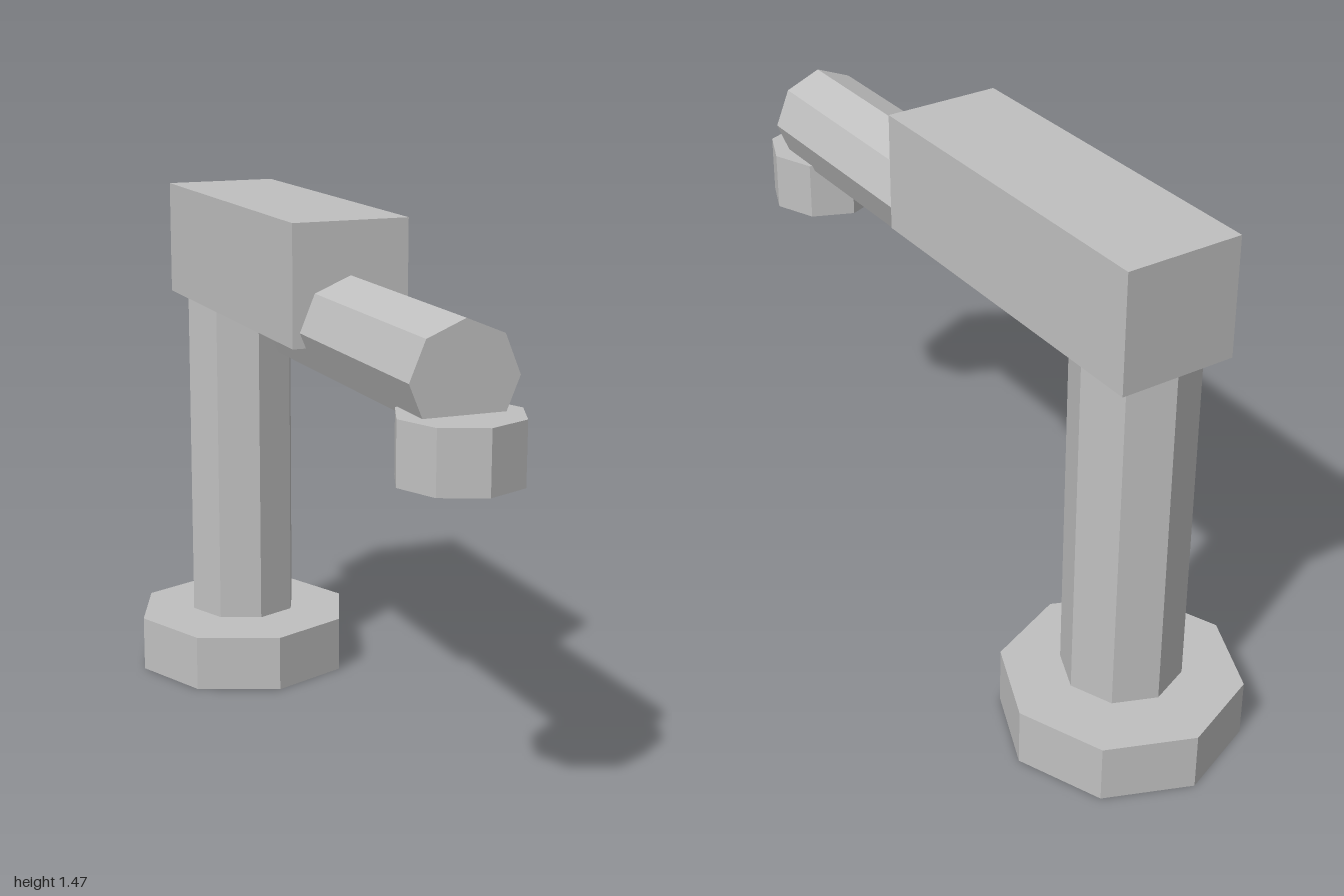
import * as THREE from 'three';

export function createModel() {
  const model = new THREE.Group();
  model.name = 'tap';
  const metal = new THREE.MeshStandardMaterial({ color: 0xc0c0c0, flatShading: true });
  metal.name = 'grey metal';

  const add = (name, geometry, x, y, z) => {
    const mesh = new THREE.Mesh(geometry, metal);
    mesh.name = name;
    mesh.position.set(x, y, z);
    model.add(mesh);
    return mesh;
  };
  // Upright eight-sided prism between two heights
  const prism = (name, radius, y0, y1, z) =>
    add(name, new THREE.CylinderGeometry(radius, radius, y1 - y0, 8), 0, (y0 + y1) / 2, z);

  // Foot and column, with a narrow gap between them
  prism('base', 0.325, 0, 0.163, -0.675);
  prism('column', 0.162, 0.177, 1.147, -0.673);

  // Long square body on top of the column
  add('body', new THREE.BoxGeometry(0.324, 0.325, 1.02), 0, 1.3095, -0.325);

  // Spout running forward out of the body
  const spout = new THREE.CylinderGeometry(0.142, 0.142, 0.94, 8).rotateX(Math.PI / 2);
  add('spout', spout, 0, 1.188, 0.39);

  // Outlet under the spout's tip
  prism('nozzle', 0.162, 0.942, 1.104, 0.838);

  return model;
}
